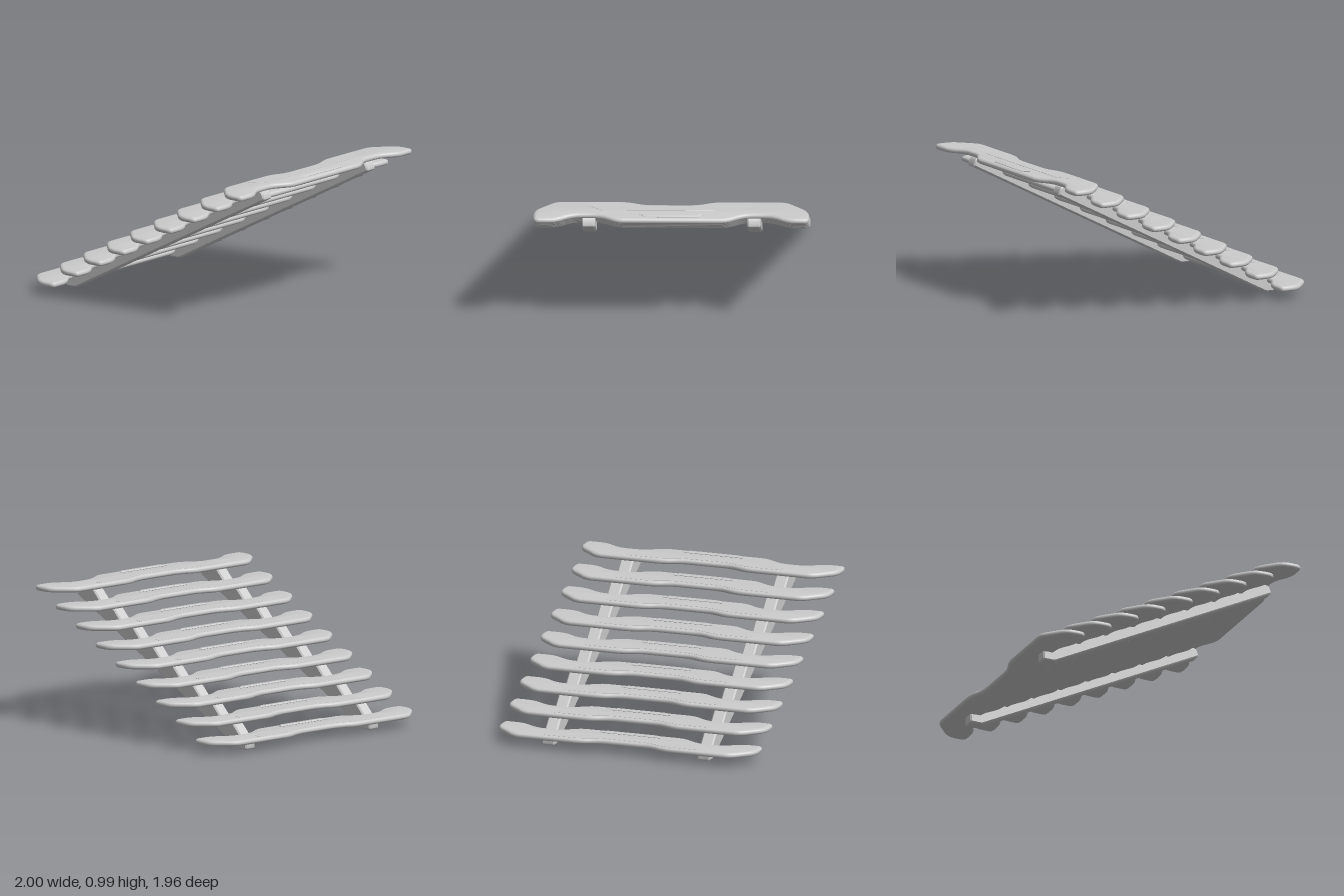
import * as THREE from 'three';
import { toCreasedNormals } from 'three/addons/utils/BufferGeometryUtils.js';

const COUNT = 9, RUN = 0.2134, RISE = 0.1096;
const FIRST_X = -1, FIRST_Y = 0.064, THICK = 0.04;

// Closed shape from points [x, y, cornerRadius]
function roundedShape(points) {
  const shape = new THREE.Shape();
  points.forEach(([x, y, r], i) => {
    const corner = new THREE.Vector2(x, y);
    const toward = (j) => {
      const p = points[(j + points.length) % points.length];
      const d = new THREE.Vector2(p[0], p[1]).sub(corner);
      return d.setLength(Math.min(r, d.length() * 0.45)).add(corner);
    };
    const a = toward(i - 1), b = toward(i + 1);
    if (i === 0) shape.moveTo(a.x, a.y); else shape.lineTo(a.x, a.y);
    if (r > 0) shape.quadraticCurveTo(x, y, b.x, b.y);
  });
  return shape;
}

// Mirror a half outline (y > 0) to the other side
const mirrored = (half) => [...half, ...half.map(([x, y, r]) => [x, -y, r]).reverse()];

// Horizontal slab whose underside lies on y = 0
function slab(points, height, bevel, inset, segments) {
  const geo = new THREE.ExtrudeGeometry(roundedShape(points), {
    depth: height - 2 * bevel, curveSegments: 4, bevelEnabled: true,
    bevelThickness: bevel, bevelSize: inset, bevelOffset: -inset, bevelSegments: segments,
  });
  geo.translate(0, 0, bevel).rotateX(-Math.PI / 2);
  return toCreasedNormals(geo, 0.6);
}

export function createModel() {
  const group = new THREE.Group();
  const material = new THREE.MeshStandardMaterial({ color: 0xcccccc });
  const add = (parent, geo, name, x = 0, y = 0, z = 0) => {
    const mesh = new THREE.Mesh(geo, material);
    mesh.name = name;
    mesh.position.set(x, y, z);
    parent.add(mesh);
  };

  // Plank: notched nose at the front edge, two notches at the back edge
  const plank = slab(mirrored([
    [0.29, 0.39, 0.05], [0.205, 0.52, 0.06], [0.205, 0.70, 0.06], [0.29, 0.825, 0.06],
    [0.29, 0.98, 0.04], [0.145, 0.98, 0.06], [0, 0.82, 0.05], [0, 0.31, 0.07], [0.05, 0.19, 0.07],
  ]), THICK, 0.016, 0.02, 3);

  // Thin panel along the nose of the tread
  const panel = slab(mirrored([
    [0.155, 0.49, 0.02], [0.075, 0.585, 0.02], [0.022, 0.585, 0],
    [0.022, 0.32, 0.05], [0.072, 0.19, 0.05],
  ]), 0.003, 0.0005, 0.0005, 1);

  // Low raised grip near the back edge
  const grip = slab(mirrored([[0.262, 0.19, 0], [0.215, 0.225, 0]]), 0.014, 0.006, 0.012, 1);

  for (let i = 0; i < COUNT; i++) {
    const tread = new THREE.Group();
    tread.name = 'tread' + (i + 1);
    tread.position.set(FIRST_X + i * RUN, FIRST_Y + i * RISE, 0);
    add(tread, plank, 'plank');
    add(tread, panel, 'nosePanel', 0, THICK - 0.001);
    add(tread, grip, 'grip', 0, THICK - 0.004);
    group.add(tread);
  }

  // Stringer side profile: straight underside, one step under each tread
  const profile = [[-0.88, 0, 0.015], [-0.79, 0, 0.02], [0.93, 0.885, 0.015], [0.905, 0.945, 0.02]];
  for (let i = COUNT - 1; i >= 0; i--) {
    const x = FIRST_X + i * RUN, y = FIRST_Y + i * RISE + 0.004;
    if (i < COUNT - 1) profile.push([x + 0.145, y, 0]);
    profile.push([i ? x + 0.045 : -0.88, y, 0]);
  }
  const width = 0.095, bevel = 0.01;
  const stringer = new THREE.ExtrudeGeometry(roundedShape(profile), {
    depth: width - 2 * bevel, curveSegments: 3, bevelEnabled: true,
    bevelThickness: bevel, bevelSize: bevel, bevelOffset: -bevel, bevelSegments: 1,
  });
  stringer.translate(0, 0, bevel - width / 2);
  const stringerGeo = toCreasedNormals(stringer, 0.6);
  for (const side of [1, -1]) add(group, stringerGeo, side > 0 ? 'frontStringer' : 'backStringer', 0, 0, side * 0.588);

  return group;
}
